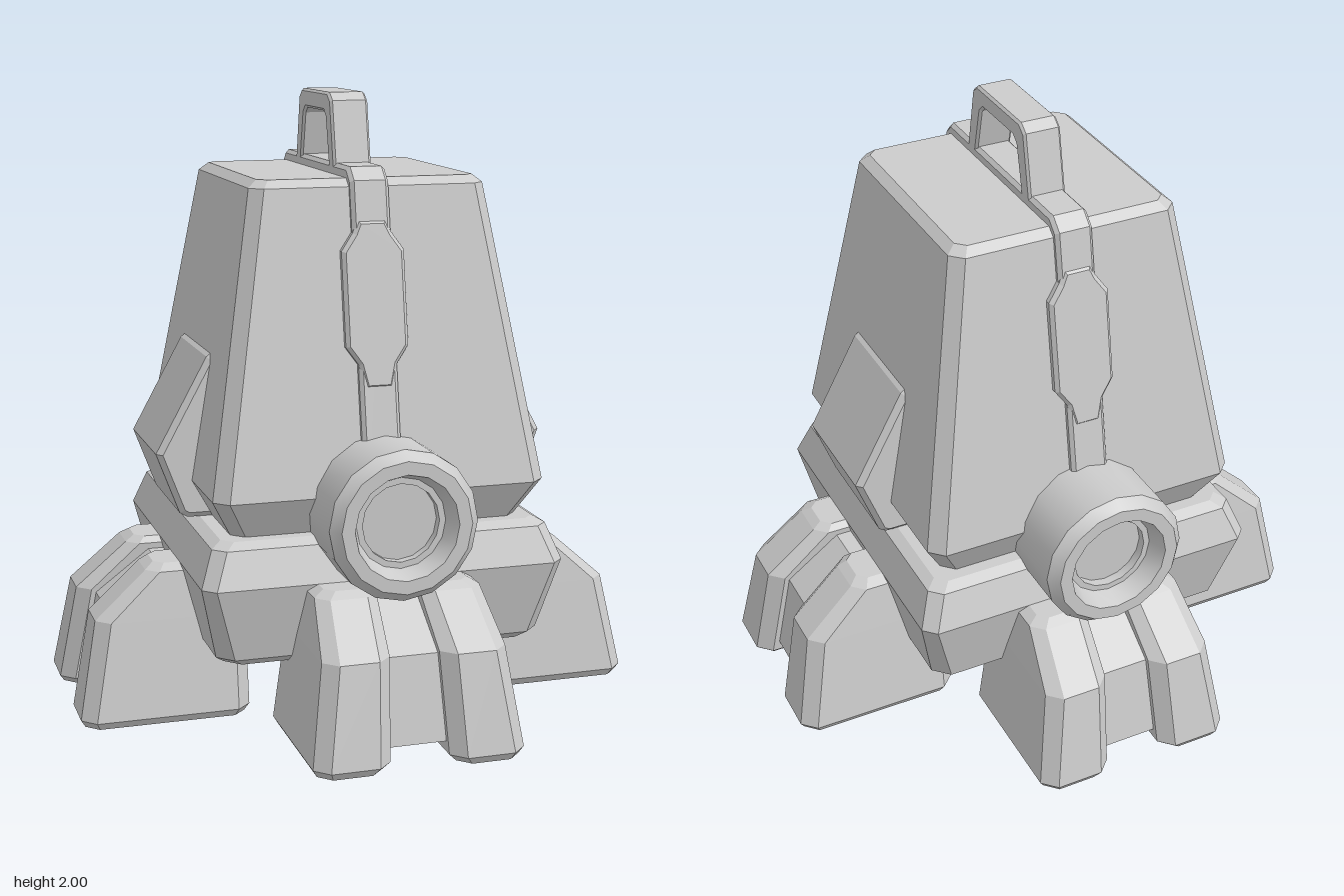
import * as THREE from 'three';
import { toCreasedNormals } from 'three/addons/utils/BufferGeometryUtils.js';

const grey = new THREE.MeshStandardMaterial({ color: 0xcccccc, flatShading: true });
const smoothGrey = new THREE.MeshStandardMaterial({ color: 0xcccccc });

function part(name, geometry, material = grey) {
  const mesh = new THREE.Mesh(geometry, material);
  mesh.name = name;
  return mesh;
}

// Stack of rectangles with cut corners; rows are [y, x0, x1, z0, z1, cut]
function loft(rows) {
  const pos = [], index = [], n = 8;
  for (const [y, x0, x1, z0, z1, c] of rows) {
    pos.push(x1, y, z1 - c, x1, y, z0 + c, x1 - c, y, z0, x0 + c, y, z0,
      x0, y, z0 + c, x0, y, z1 - c, x0 + c, y, z1, x1 - c, y, z1);
  }
  for (let i = 0; i < rows.length - 1; i++) {
    for (let j = 0; j < n; j++) {
      const a = i * n + j, b = i * n + (j + 1) % n;
      index.push(a, b, b + n, a, b + n, a + n);
    }
  }
  const top = (rows.length - 1) * n;
  for (let j = 1; j < n - 1; j++) {
    index.push(0, j + 1, j, top, top + j, top + j + 1);
  }
  const g = new THREE.BufferGeometry();
  g.setAttribute('position', new THREE.Float32BufferAttribute(pos, 3));
  g.setIndex(index);
  const flat = g.toNonIndexed();
  flat.computeVertexNormals();
  return flat;
}

// Square version of the loft; rows are [y, half width, cut]
const squareLoft = rows => loft(rows.map(([y, h, c]) => [y, -h, h, -h, h, c]));

// Bevelled plate centred on its own thickness
function plate(points, depth, bevel = 0) {
  const shape = new THREE.Shape(points.map(p => new THREE.Vector2(...p)));
  const g = new THREE.ExtrudeGeometry(shape, {
    depth: depth - 2 * bevel, bevelEnabled: bevel > 0, bevelThickness: bevel,
    bevelSize: bevel, bevelOffset: -bevel, bevelSegments: 1,
  });
  return g.translate(0, 0, bevel - depth / 2);
}

// Plate whose points are (z, y), with its thickness along x
const sidePlate = (...args) => plate(...args).rotateY(-Math.PI / 2);
const mirrored = half => [...half, ...half.map(([u, v]) => [-u, v]).reverse()];

// Pair of foot blocks with a recessed web between them
function makeLeg() {
  const leg = new THREE.Group();
  const rows = [
    [0, 0.12, 0.325, 0.40, 0.925, 0.04],
    [0.025, 0.095, 0.34, 0.385, 0.94, 0.045],
    [0.34, 0.08, 0.295, 0.385, 0.88, 0.045],
    [0.49, 0.07, 0.27, 0.385, 0.71, 0.04],
    [0.51, 0.09, 0.235, 0.385, 0.68, 0.03],
  ];
  leg.add(part('leftFoot', loft(rows)));
  leg.add(part('rightFoot', loft(rows.map(([y, a, b, ...rest]) => [y, -b, -a, ...rest]))));
  const web = [[0.40, 0.06], [0.87, 0.06], [0.82, 0.33], [0.64, 0.47], [0.40, 0.47]];
  leg.add(part('footWeb', sidePlate(web, 0.22)));
  return leg;
}

// Round socket with a stepped recess
function makeSocket() {
  const profile = [[0, 0.67], [0.125, 0.67], [0.125, 0.70], [0.145, 0.70], [0.168, 0.765],
    [0.21, 0.765], [0.24, 0.73], [0.24, 0.40], [0, 0.40]];
  const g = new THREE.LatheGeometry(profile.map(([r, z]) => new THREE.Vector2(r, -z)), 16);
  // The profile runs along -y; turn it to face +z
  g.rotateX(-Math.PI / 2);
  return part('socket', toCreasedNormals(g, 0.5), smoothGrey).translateY(0.715);
}

export function createModel() {
  const model = new THREE.Group();
  model.name = 'walker';
  const stripX = -0.01;

  model.add(part('base', squareLoft([
    [0.24, 0.51, 0.05], [0.265, 0.54, 0.05], [0.51, 0.598, 0.04],
    [0.625, 0.555, 0.04], [0.645, 0.52, 0.035],
  ])));
  model.add(part('body', squareLoft([
    [0.60, 0.45, 0.04], [0.64, 0.475, 0.04], [0.77, 0.547, 0.045],
    [1.72, 0.385, 0.04], [1.745, 0.355, 0.03],
  ])));

  // Four legs, one per side
  for (let i = 0; i < 4; i++) {
    const leg = makeLeg();
    leg.name = ['frontLeg', 'leftLeg', 'backLeg', 'rightLeg'][i];
    leg.rotation.y = i * Math.PI / 2;
    model.add(leg);
  }

  // Sockets and widened strip plates, front and back
  const slope = 0.168;
  const outline = [[0.045, 1.10], [0.063, 1.175], [0.102, 1.23], [0.102, 1.525], [0.063, 1.58], [0.045, 1.62]];
  for (const side of [1, -1]) {
    const end = new THREE.Group();
    end.name = side > 0 ? 'frontEnd' : 'backEnd';
    end.add(makeSocket());
    const g = plate(mirrored(outline), 0.08, 0.012);
    const p = g.attributes.position;
    for (let i = 0; i < p.count; i++) {
      p.setZ(i, p.getZ(i) + 0.663 - slope * p.getY(i));
    }
    g.computeVertexNormals();
    const wide = part('stripPlate', g);
    wide.position.x = stripX * side;
    end.add(wide);
    if (side < 0) end.rotation.y = Math.PI;
    model.add(end);
  }

  // Centre strip running up, over the top and down the back
  const strip = part('centreStrip', sidePlate(
    mirrored([[0.567, 0.80], [0.403, 1.74], [0.36, 1.78]]), 0.126, 0.012));
  strip.position.x = stripX;
  model.add(strip);

  // Carrying handle
  const handle = part('handle', sidePlate([
    [0.225, 1.76], [0.183, 1.975], [0.15, 2.0], [-0.15, 2.0], [-0.183, 1.975], [-0.225, 1.76],
    [-0.165, 1.76], [-0.127, 1.92], [-0.105, 1.938], [0.105, 1.938], [0.127, 1.92], [0.165, 1.76],
  ], 0.126, 0.008));
  handle.position.x = stripX;
  model.add(handle);

  // Wedge panels on both flanks
  const wedge = [[0.40, 1.10], [0.465, 1.19], [0.49, 1.17], [0.66, 0.86], [0.585, 0.66], [0.56, 0.645], [0.42, 0.645]];
  for (const side of [1, -1]) {
    const panel = part(side > 0 ? 'leftPanel' : 'rightPanel', plate(wedge, 0.42, 0.018));
    if (side < 0) panel.rotation.y = Math.PI;
    model.add(panel);
  }
  return model;
}
